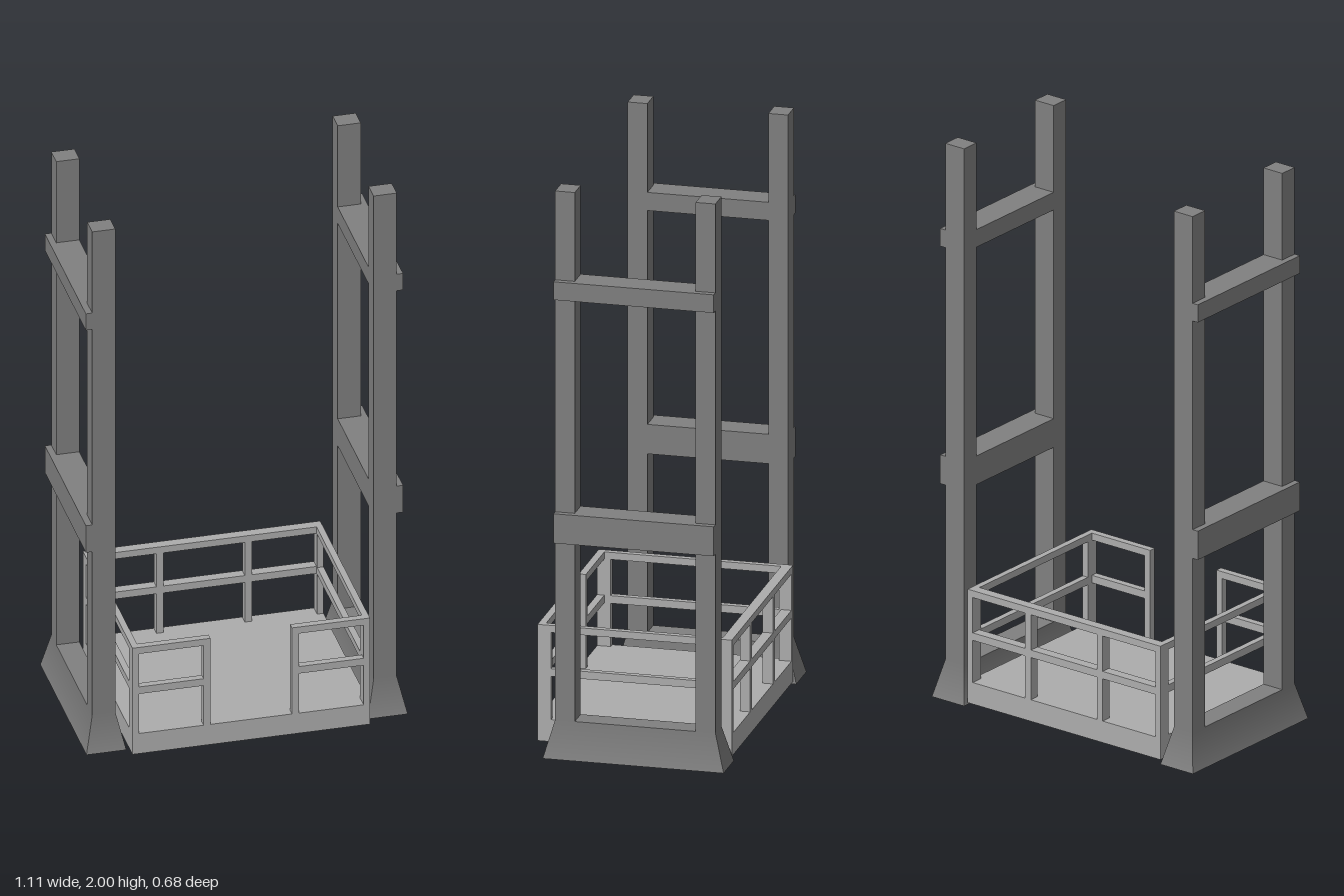
import * as THREE from 'three';

const towerGrey = new THREE.MeshStandardMaterial({ color: 0x808080 });
const platformGrey = new THREE.MeshStandardMaterial({ color: 0xadadad });

// Box given by its lower and upper limits on each axis
function box(name, material, x0, x1, y0, y1, z0, z1) {
  const mesh = new THREE.Mesh(new THREE.BoxGeometry(x1 - x0, y1 - y0, z1 - z0), material);
  mesh.position.set((x0 + x1) / 2, (y0 + y1) / 2, (z0 + z1) / 2);
  mesh.name = name;
  return mesh;
}

// Moves the lower corners of a box by a rule; straight normals stay along the top
// so that the slope blends into whatever stands above it
function shapeBottom(mesh, rule, blend) {
  const geo = mesh.geometry;
  const p = geo.attributes.position;
  const straight = geo.attributes.normal.clone();
  const v = new THREE.Vector3();
  for (let i = 0; i < p.count; i++) {
    v.fromBufferAttribute(p, i);
    if (v.y < 0) rule(v);
    p.setXYZ(i, v.x, v.y, v.z);
  }
  geo.computeVertexNormals();
  for (let i = 0; blend && i < p.count; i++) {
    if (p.getY(i) > 0) geo.attributes.normal.setXYZ(i, straight.getX(i), straight.getY(i), straight.getZ(i));
  }
  return mesh;
}

// One side tower: flared foot, two posts and two crossbars
function tower(side) {
  const g = new THREE.Group();
  g.name = side > 0 ? 'leftTower' : 'rightTower';
  const span = (a, b) => (side > 0 ? [a, b] : [-b, -a]);
  const [x0, x1] = span(0.447, 0.527);
  const [b0, b1] = span(0.447, 0.549);
  const back = -0.305, front = 0.25;
  const add = (name, ...limits) => g.add(box(name, towerGrey, ...limits));

  const foot = box('flaredFoot', towerGrey, x0, x1, 0, 0.13, back, front);
  g.add(shapeBottom(foot, (v) => {
    v.x += Math.sign(v.x) * 0.029;
    v.z += Math.sign(v.z) * 0.036;
  }, true));
  add('frontPost', x0, x1, 0.13, 2, 0.182, front);
  add('backPost', x0, x1, 0.13, 2, back, -0.237);
  add('lowerCrossbar', b0, b1, 0.762, 0.866, back, front);
  add('upperCrossbar', b0, b1, 1.622, 1.686, back, front);
  return g;
}

// Platform: floor, skirt open below and railings with a front gateway
function platform() {
  const g = new THREE.Group();
  g.name = 'platform';
  const X = 0.411, IN = 0.389;
  const back = -0.332, backIn = -0.296, front = 0.341, frontIn = 0.316;
  const bottom = 0.012, deck = 0.09, top = 0.423, gate = 0.141, gateOut = 0.165;
  const rails = [[0.243, 0.27], [0.398, top]];
  const add = (name, ...limits) => g.add(box(name, platformGrey, ...limits));

  // Skirt whose inner face slopes out to a thin lower edge
  const addSkirt = (name, axis, side, ...limits) => {
    const mesh = box(name, platformGrey, ...limits);
    g.add(shapeBottom(mesh, (v) => { v[axis] = side * Math.abs(v[axis]); }, false));
  };

  add('floor', -IN, IN, deck - 0.005, deck, backIn, frontIn);
  addSkirt('backSkirt', 'z', -1, -X, X, bottom, deck, back, backIn);
  addSkirt('frontSkirt', 'z', 1, -X, X, bottom, deck, frontIn, front);

  for (const s of [-1, 1]) {
    const span = (a, b) => (s > 0 ? [a, b] : [-b, -a]);
    const [x0, x1] = span(IN, X);
    const [p0, p1] = span(gate, gateOut);
    const [r0, r1] = span(gateOut, IN);
    // Side panel and the short front rails
    addSkirt('sideSkirt', 'x', s, x0, x1, bottom, deck, back, front);
    add('frontCornerPost', x0, x1, deck, top, 0.294, front);
    add('backCornerPost', x0, x1, deck, top, back, -0.288);
    for (const [y0, y1] of rails) {
      add('sideRail', x0, x1, y0, y1, -0.288, 0.294);
      add('frontRail', r0, r1, y0, y1, frontIn, front);
    }
    // Uprights beside the gateway and in the back railing
    add('gatePost', p0, p1, deck, top, frontIn, front);
    add('backUpright', p0, p1, deck, top, back, backIn);
  }
  for (const [y0, y1] of rails) add('backRail', -IN, IN, y0, y1, back, backIn);
  return g;
}

export function createModel() {
  const model = new THREE.Group();
  model.name = 'platformLift';
  model.add(tower(1), tower(-1), platform());
  return model;
}
